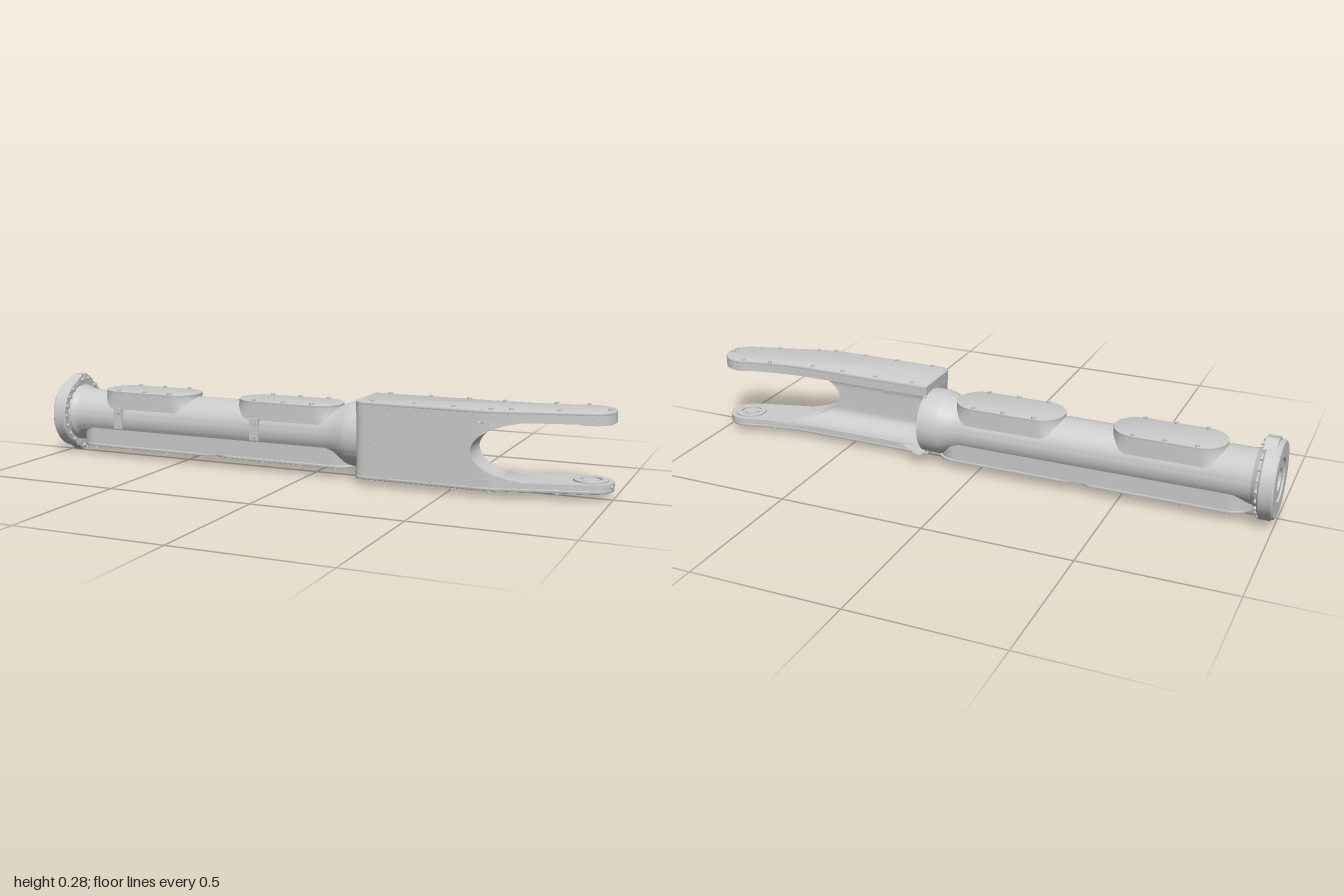
import * as THREE from 'three';
import { toCreasedNormals } from 'three/addons/utils/BufferGeometryUtils.js';

const AY = 0.142, AZ = -0.012; // long axis of the tube
const TIP = { x: 0.925, z: -0.022, r: 0.073 };

export function createModel() {
  const root = new THREE.Group();
  const mat = new THREE.MeshStandardMaterial({ color: 0xcccccc });
  const lerp = THREE.MathUtils.lerp;

  const add = (name, geo, crease = 0.6) => {
    const mesh = new THREE.Mesh(toCreasedNormals(geo, crease), mat);
    mesh.name = name;
    root.add(mesh);
    return mesh;
  };

  // Solid of revolution about the tube axis, profile given as [x, radius]
  const turned = (name, profile, seg = 64) => {
    const pts = [...profile, profile[0]].map(([x, r]) => new THREE.Vector2(r, x));
    const geo = new THREE.LatheGeometry(pts, seg).rotateZ(-Math.PI / 2).translate(0, AY, AZ);
    return add(name, geo, 0.4);
  };

  // Plan shape (x, -z) raised from y0 to y1
  const slab = (name, shape, y0, y1, bevel = 0) => {
    const geo = new THREE.ExtrudeGeometry(shape, {
      depth: y1 - y0 - 2 * bevel, curveSegments: 20, bevelEnabled: bevel > 0,
      bevelThickness: bevel, bevelSize: bevel, bevelOffset: -bevel, bevelSegments: 2,
    });
    return add(name, geo.rotateX(-Math.PI / 2).translate(0, y0 + bevel, 0));
  };

  // Small screw heads sharing one geometry
  const screwGeo = toCreasedNormals(new THREE.CylinderGeometry(0.007, 0.007, 0.012, 10), 0.6);
  const screws = new THREE.Group();
  screws.name = 'screws';
  root.add(screws);
  const screw = (x, y, z, axis = 'y') => {
    const s = new THREE.Mesh(screwGeo, mat);
    s.name = 'screw';
    s.position.set(x, y, z);
    if (axis === 'x') s.rotation.z = Math.PI / 2;
    if (axis === 'z') s.rotation.x = Math.PI / 2;
    screws.add(s);
  };

  const stadium = (x0, x1, r) => {
    const s = new THREE.Shape();
    s.absarc(x1 - r, -AZ, r, -Math.PI / 2, Math.PI / 2, false);
    s.absarc(x0 + r, -AZ, r, Math.PI / 2, Math.PI * 1.5, false);
    s.closePath();
    return s;
  };

  // Hollow tube with flared neck
  turned('tube', [[-0.97, 0.105], [-0.94, 0.1], [-0.925, 0.09], [-0.9, 0.087], [0.06, 0.087],
    [0.09, 0.092], [0.125, 0.107], [0.14, 0.11], [0.2, 0.11], [0.2, 0.037], [-0.97, 0.037]]);

  // Mounting flange and recessed bearing ring
  turned('mountingFlange', [[-1, 0.122], [-0.995, 0.127], [-0.955, 0.127], [-0.95, 0.122],
    [-0.95, 0.05], [-0.985, 0.05], [-0.985, 0.072], [-1, 0.072]]);
  turned('bearingRing', [[-0.995, 0.065], [-0.96, 0.065], [-0.96, 0.037], [-0.995, 0.037]]);
  for (let i = 0; i < 20; i++) {
    const a = (i / 20) * Math.PI * 2;
    screw(-0.948, AY + 0.113 * Math.sin(a), AZ + 0.113 * Math.cos(a), 'x');
  }

  // Split lugs above and below the flange
  for (const side of [1, -1]) {
    for (const half of [1, -1]) {
      const s = new THREE.Shape([[0.006, 0.1], [0.006, 0.141], [0.014, 0.141], [0.05, 0.116], [0.05, 0.1]]
        .map(([z, y]) => new THREE.Vector2(z * half, y * side)));
      const geo = new THREE.ExtrudeGeometry(s, { depth: 0.04, bevelEnabled: false });
      add('flangeLug', geo.rotateY(-Math.PI / 2).translate(-0.945, AY, AZ));
      screw(-0.94, AY + side * 0.122, AZ + half * 0.018, 'x');
    }
  }

  // Housing blocks that blend from the tube to a flat stadium face
  const housing = (name, x0, x1, r, yBase, yFace, flare) => {
    const geo = new THREE.ExtrudeGeometry(stadium(x0, x1, r),
      { depth: 1, steps: 8, curveSegments: 20, bevelEnabled: false });
    geo.rotateX(-Math.PI / 2);
    const p = geo.attributes.position, c = (x0 + x1) / 2;
    for (let i = 0; i < p.count; i++) {
      const t = p.getY(i);
      // the lower housing is the same block turned over about the tube axis
      const flip = yFace < yBase ? -1 : 1;
      p.setXYZ(i, c + (p.getX(i) - c) * (1 + flare * (1 - t) ** 2),
        lerp(yBase, yFace, t), AZ + flip * (p.getZ(i) - AZ));
    }
    add(name, geo);
  };
  for (const [x0, x1] of [[-0.83, -0.46], [-0.29, 0.09]]) {
    housing('upperHousing', x0, x1, 0.08, 0.15, 0.233, 0.3);
    slab('upperCover', stadium(x0, x1, 0.08), 0.232, 0.241, 0.002);
    for (const f of [0.22, 0.5, 0.78])
      for (const s of [1, -1]) screw(lerp(x0, x1, f), 0.241, AZ + s * 0.072);
  }
  housing('lowerHousing', -0.93, 0.15, 0.076, 0.13, 0.041, 0.02);
  for (const [x0, x1] of [[-0.93, -0.34], [-0.38, 0.16]]) {
    slab('lowerCover', stadium(x0, x1, 0.078), 0.033, 0.043, 0.002);
    for (const f of [0.13, 0.37, 0.63, 0.87])
      for (const s of [1, -1]) screw(lerp(x0, x1, f), 0.032, AZ + s * 0.067);
  }

  // Small side plates on the tube
  for (const x of [-0.745, -0.2]) {
    add('sidePlate', new THREE.BoxGeometry(0.034, 0.074, 0.02).translate(x, AY + 0.002, AZ + 0.081));
    for (const dy of [-0.024, 0.024]) screw(x, AY + dy, AZ + 0.09, 'z');
  }

  // Plan outline shared by both fork arms
  const arm = new THREE.Shape();
  arm.moveTo(0.19, 0.055);
  arm.lineTo(0.19, -0.11);
  arm.quadraticCurveTo(0.192, -0.135, 0.225, -0.135);
  arm.lineTo(0.6, -0.135);
  arm.quadraticCurveTo(0.63, -0.135, 0.66, -0.127);
  arm.absarc(TIP.x, -TIP.z, TIP.r, -1.31, 1.83, false);
  arm.quadraticCurveTo(0.76, 0.055, 0.65, 0.055);
  arm.closePath();
  slab('upperArm', arm, 0.24, 0.267);
  slab('upperArmCover', arm, 0.264, 0.279, 0.005);
  slab('lowerArm', arm, 0.034, 0.052);
  slab('lowerArmCover', arm, 0.022, 0.037, 0.005);

  // Fork web: stacked plan sections with a rounded mouth and a concave inner channel
  const frontZ = (x) => {
    if (x < 0.225) return 0.11 + 0.024 * Math.sqrt(1 - ((0.225 - x) / 0.035) ** 2);
    return x < 0.62 ? 0.134 : 0.134 - (x - 0.62) * 0.26;
  };
  const backZ = (x) => (x < 0.2 ? -0.115 : x < 0.3 ? lerp(-0.115, -0.055, (x - 0.2) / 0.1)
    : x < 0.65 ? -0.055 : -0.055 - (x - 0.65) * 0.12);
  const NX = 28, NY = 32, ring = 2 * (NX + 1), pos = [], idx = [];
  for (let j = 0; j <= NY; j++) {
    const t = -Math.cos((j / NY) * Math.PI); // -1 bottom, 1 top
    const y = 0.146 + 0.097 * t;
    const mouth = 0.58 + 0.22 * (1 - Math.sqrt(Math.max(0, 1 - t * t)));
    const fillet = 1 - Math.sqrt(Math.max(0, 1 - Math.max(0, (Math.abs(t) - 0.45) / 0.55) ** 2));
    const xs = Array.from({ length: NX + 1 }, (_, i) => lerp(0.19, mouth, (i / NX) ** 1.3));
    for (const x of xs) pos.push(x, y, frontZ(x));
    for (const x of xs.reverse()) pos.push(x, y, lerp(0.03, backZ(x), fillet));
  }
  for (let j = 0; j < NY; j++) {
    for (let i = 0; i < ring; i++) {
      const a = j * ring + i, b = j * ring + ((i + 1) % ring);
      idx.push(a, b, b + ring, a, b + ring, a + ring);
    }
  }
  const web = new THREE.BufferGeometry();
  web.setAttribute('position', new THREE.Float32BufferAttribute(pos, 3));
  web.setIndex(idx);
  add('forkWeb', web, 0.7);

  // Bearing seats on the inner faces of the fork tips
  const disc = (name, r, y0, y1) =>
    add(name, new THREE.CylinderGeometry(r, r, y1 - y0, 48).translate(TIP.x, (y0 + y1) / 2, TIP.z));
  const seat = new THREE.Shape().absarc(TIP.x, -TIP.z, 0.055, 0, Math.PI * 2, false);
  seat.holes.push(new THREE.Path().absarc(TIP.x, -TIP.z, 0.034, 0, Math.PI * 2, true));
  slab('lowerBearingSeat', seat, 0.05, 0.058, 0.002);
  disc('lowerBearingCore', 0.026, 0.05, 0.055);
  disc('upperBearingSeat', 0.066, 0.235, 0.245);

  // Screws on the neck face, arm covers, web and tips
  for (let i = 0; i < 7; i++) {
    const a = Math.PI / 2 + i * 0.28;
    screw(0.2, AY + 0.066 * Math.sin(a), AZ + 0.069 * Math.cos(a), 'x');
  }
  for (const y of [0.278, 0.023]) {
    for (const x of [0.25, 0.39, 0.52, 0.64]) {
      screw(x, y, 0.122);
      screw(x, y, -0.043);
    }
    for (const [x, z] of [[0.7, 0.103], [0.84, 0.066], [0.8, -0.067], [0.9, -0.083]]) screw(x, y, z);
    for (const dz of [-0.011, 0.011]) screw(0.98, y, AZ + dz);
    for (const x of [0.3, 0.45, 0.58]) screw(x, lerp(AY, y, 0.88), 0.133, 'z');
  }
  for (const [x, y] of [[0.24, 0.145], [0.63, 0.235], [0.63, 0.055]]) screw(x, y, 0.131, 'z');
  for (const dz of [-0.011, 0.011]) screw(0.992, 0.04, AZ + dz, 'x');

  return root;
}
